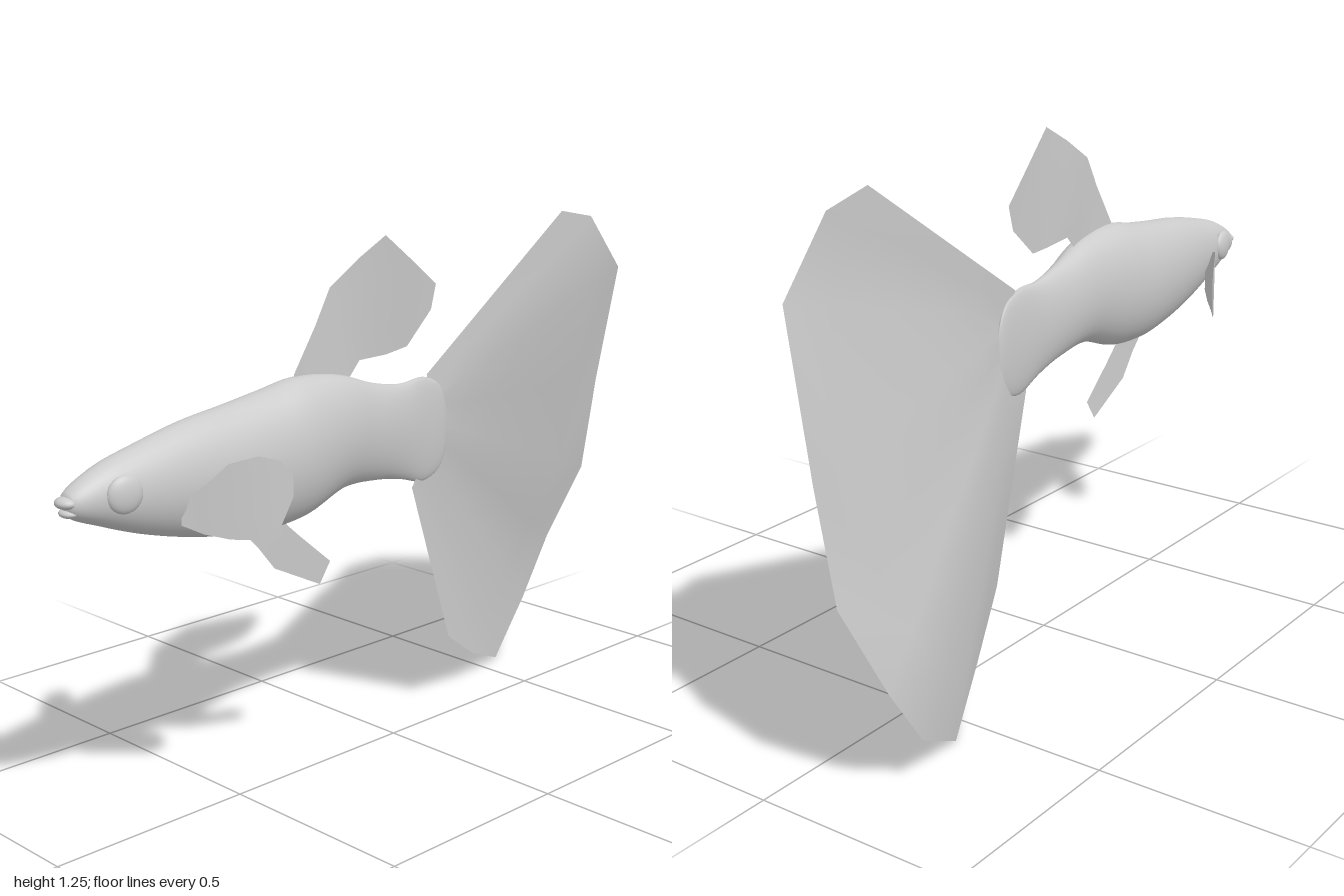
import * as THREE from 'three';

const skin = new THREE.MeshStandardMaterial({ color: 0xcccccc });
const finSkin = new THREE.MeshStandardMaterial({ color: 0xcccccc, side: THREE.DoubleSide });

// Surface over a grid of points; closed grids wrap around each row.
function gridGeometry(rows, closed) {
  const n = rows[0].length, index = [];
  for (let i = 0; i < rows.length - 1; i++) {
    for (let j = 0; j < (closed ? n : n - 1); j++) {
      const k = (j + 1) % n;
      const a = i * n + j, b = (i + 1) * n + j, c = (i + 1) * n + k, d = i * n + k;
      index.push(a, b, d, b, c, d);
    }
  }
  const g = new THREE.BufferGeometry();
  g.setAttribute('position', new THREE.Float32BufferAttribute(rows.flat(2), 3));
  g.setIndex(index);
  g.computeVertexNormals();
  return g;
}

function add(parent, name, geometry, material) {
  const mesh = new THREE.Mesh(geometry, material);
  mesh.name = name;
  parent.add(mesh);
  return mesh;
}

// Thin fin stretched between two matching edges of [x, y, z] points.
function fin(parent, name, edgeA, edgeB, steps = 4) {
  const rows = edgeA.map((a, i) => Array.from({ length: steps + 1 }, (_, j) =>
    a.map((v, k) => THREE.MathUtils.lerp(v, edgeB[i][k], j / steps))));
  return add(parent, name, gridGeometry(rows, false), finSkin);
}

function ellipsoid(parent, name, position, scale) {
  const mesh = add(parent, name, new THREE.SphereGeometry(1, 24, 16), skin);
  mesh.position.set(...position);
  mesh.scale.set(...scale);
  return mesh;
}

// Body stations from snout to tail root: z, top, bottom, centre x, half width
const STATIONS = [
  [0.985, 0.808, 0.795, 0.067, 0.006],
  [0.975, 0.828, 0.775, 0.067, 0.026],
  [0.90, 0.868, 0.742, 0.067, 0.048],
  [0.80, 0.895, 0.705, 0.064, 0.063],
  [0.68, 0.92, 0.672, 0.057, 0.076],
  [0.55, 0.936, 0.648, 0.050, 0.086],
  [0.45, 0.95, 0.64, 0.046, 0.09],
  [0.35, 0.966, 0.648, 0.047, 0.087],
  [0.22, 0.952, 0.688, 0.043, 0.068],
  [0.10, 0.914, 0.682, 0.032, 0.047],
  [0.00, 0.896, 0.664, 0.020, 0.031],
  [-0.09, 0.898, 0.640, 0.008, 0.020],
  [-0.15, 0.875, 0.655, 0.000, 0.013],
  [-0.18, 0.83, 0.69, -0.004, 0.007],
  [-0.19, 0.77, 0.75, -0.005, 0.001],
];

function bodyGeometry() {
  const heights = new THREE.CatmullRomCurve3(
    STATIONS.map(([z, top, bottom]) => new THREE.Vector3(top, bottom, z)));
  const widths = new THREE.CatmullRomCurve3(
    STATIONS.map(([z, , , x, w]) => new THREE.Vector3(x, w, z)));
  const rows = [], rings = 70, sides = 32;
  for (let i = 0; i <= rings; i++) {
    const h = heights.getPoint(i / rings), w = widths.getPoint(i / rings);
    const mid = (h.x + h.y) / 2, half = (h.x - h.y) / 2;
    rows.push(Array.from({ length: sides }, (_, j) => {
      const a = j / sides * Math.PI * 2;
      return [w.x + Math.max(w.y, 0.001) * Math.cos(a), mid + half * Math.sin(a), h.z];
    }));
  }
  return gridGeometry(rows, true);
}

export function createModel() {
  const fish = new THREE.Group();
  fish.name = 'fish';
  add(fish, 'body', bodyGeometry(), skin);

  // Mouth
  ellipsoid(fish, 'upperLip', [0.067, 0.806, 0.978], [0.026, 0.013, 0.022]);
  ellipsoid(fish, 'lowerLip', [0.067, 0.784, 0.972], [0.023, 0.010, 0.020]);

  // Tail fin: a broad fan swept to one side
  const tailRim = [
    [-0.05, 1.245, -0.67], [-0.065, 1.22, -0.81], [-0.08, 1.07, -0.955],
    [-0.18, 0.74, -1.0], [-0.20, 0.48, -0.97], [-0.255, 0.28, -0.89],
    [-0.245, 0.12, -0.775], [-0.175, 0.005, -0.58], [-0.09, 0.09, -0.39],
    [-0.02, 0.20, -0.22],
  ];
  const tailRoot = tailRim.map((_, i) => {
    const t = i / (tailRim.length - 1);
    return [0.003 + 0.02 * t * t, 0.90 - 0.265 * t,
      -0.11 + 0.07 * t - 0.05 * Math.sin(Math.PI * t)];
  });
  fin(fish, 'tailFin', tailRoot, tailRim, 6);

  // Dorsal fin
  fin(fish, 'dorsalFin',
    [[0.045, 0.955, 0.355], [0.042, 0.94, 0.27], [0.04, 0.93, 0.19], [0.03, 0.972, 0.14],
      [0.015, 0.97, 0.04], [-0.005, 0.975, -0.05], [-0.022, 1.05, -0.15]],
    [[0.045, 0.97, 0.355], [0.045, 1.07, 0.29], [0.04, 1.15, 0.24], [0.038, 1.205, 0.15],
      [0.035, 1.25, 0.06], [0.005, 1.185, -0.05], [-0.025, 1.11, -0.17]]);

  // Pelvic fin
  fin(fish, 'pelvicFin',
    [[0.048, 0.66, 0.53], [0.047, 0.60, 0.47], [0.044, 0.54, 0.42], [0.04, 0.47, 0.28]],
    [[0.048, 0.66, 0.40], [0.048, 0.635, 0.385], [0.046, 0.60, 0.345], [0.043, 0.52, 0.25]]);

  // Pectoral fin columns: offset from the midline, bottom, top, z
  const pectoral = [
    [0.066, 0.72, 0.77, 0.735], [0.095, 0.70, 0.80, 0.70], [0.13, 0.688, 0.848, 0.66],
    [0.166, 0.683, 0.862, 0.61], [0.187, 0.71, 0.85, 0.57], [0.198, 0.77, 0.82, 0.545],
  ];
  for (const [side, s] of [['left', 1], ['right', -1]]) {
    fin(fish, side + 'PectoralFin',
      pectoral.map(([x, low, , z]) => [0.053 + s * x, low, z]),
      pectoral.map(([x, , high, z]) => [0.053 + s * x, high, z]));
    const eye = ellipsoid(fish, side + 'Eye', [0.066 + s * 0.051, 0.812, 0.872], [0.016, 0.04, 0.04]);
    eye.rotation.y = -s * 0.15;
  }
  return fish;
}
